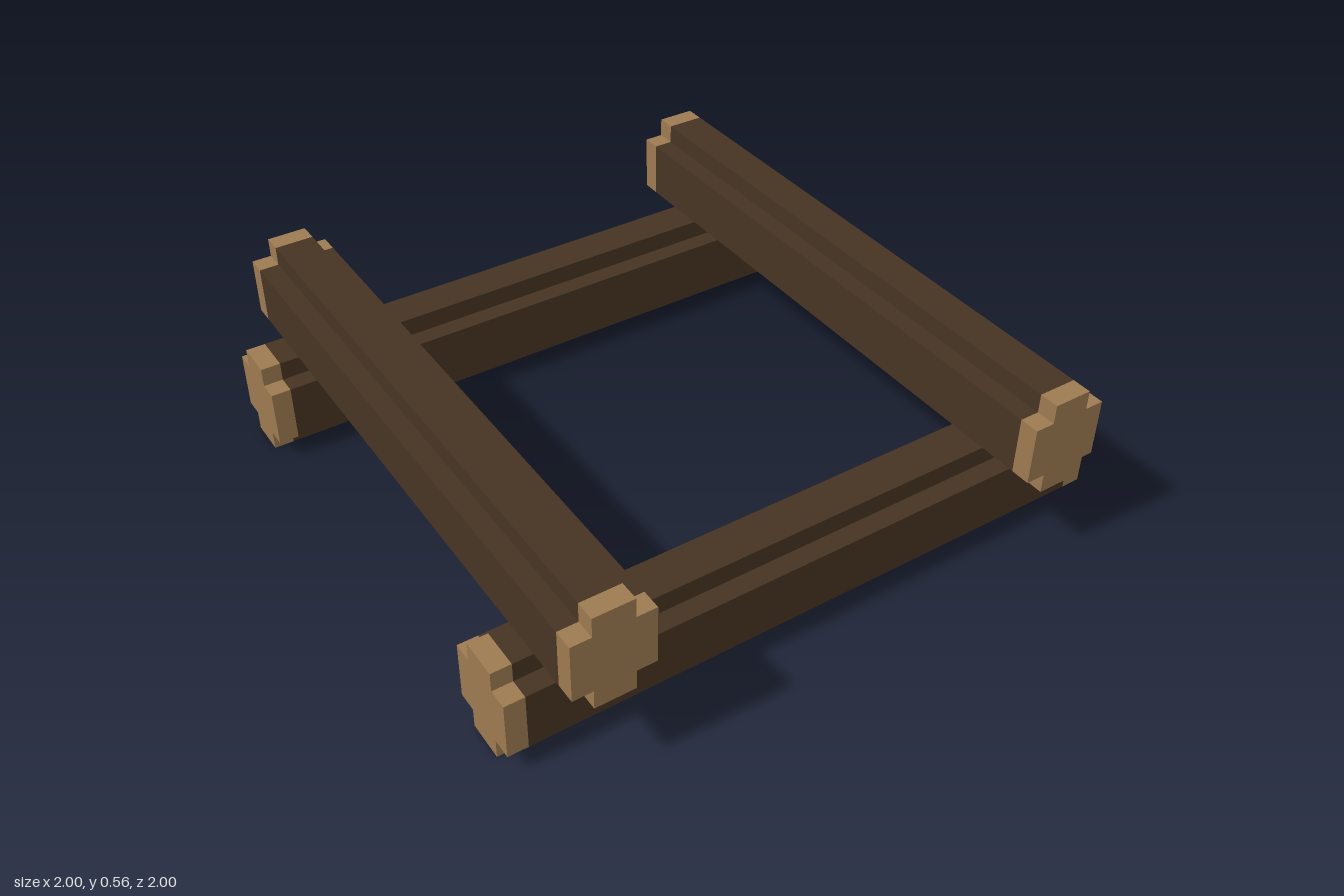
import * as THREE from 'three';

// Plus-shaped beam section: wide middle, narrow ridge above and below
function beamSection() {
  const n = 0.0625, w = 0.125, h = 0.15625, s = 0.09375;
  return new THREE.Shape([
    [-n, -h], [n, -h], [n, -s], [w, -s], [w, s], [n, s],
    [n, h], [-n, h], [-n, s], [-w, s], [-w, -s], [-n, -s],
  ].map(([x, y]) => new THREE.Vector2(x, y)));
}

export function createModel() {
  const bark = new THREE.MeshStandardMaterial({ name: 'dark bark', color: 0x463423 });
  const cutWood = new THREE.MeshStandardMaterial({ name: 'cut wood', color: 0x9d7b50 });

  const section = beamSection();
  const cap = 0.0625;
  const extrude = (depth) =>
    new THREE.ExtrudeGeometry(section, { depth, bevelEnabled: false }).translate(0, 0, -depth / 2);
  const bodyGeometry = extrude(2 - 2 * cap);
  const capGeometry = extrude(cap);

  // One beam along z with a pale cap at each end
  function beam(name) {
    const group = new THREE.Group();
    group.name = name;
    const body = new THREE.Mesh(bodyGeometry, bark);
    body.name = 'beamBody';
    group.add(body);
    for (const side of [-1, 1]) {
      const end = new THREE.Mesh(capGeometry, cutWood);
      end.name = side > 0 ? 'endCapA' : 'endCapB';
      end.position.z = side * (1 - cap / 2);
      group.add(end);
    }
    return group;
  }

  const model = new THREE.Group();
  model.name = 'logFrame';
  for (const side of [-1, 1]) {
    // Lower beams run left to right
    const lower = beam(side > 0 ? 'frontLowerBeam' : 'backLowerBeam');
    lower.rotation.y = Math.PI / 2;
    lower.position.set(0, 0.15625, side * 0.75);
    // Upper beams run front to back, resting on the lower pair
    const upper = beam(side > 0 ? 'leftUpperBeam' : 'rightUpperBeam');
    upper.position.set(side * 0.75, 0.40625, 0);
    model.add(lower, upper);
  }
  return model;
}
